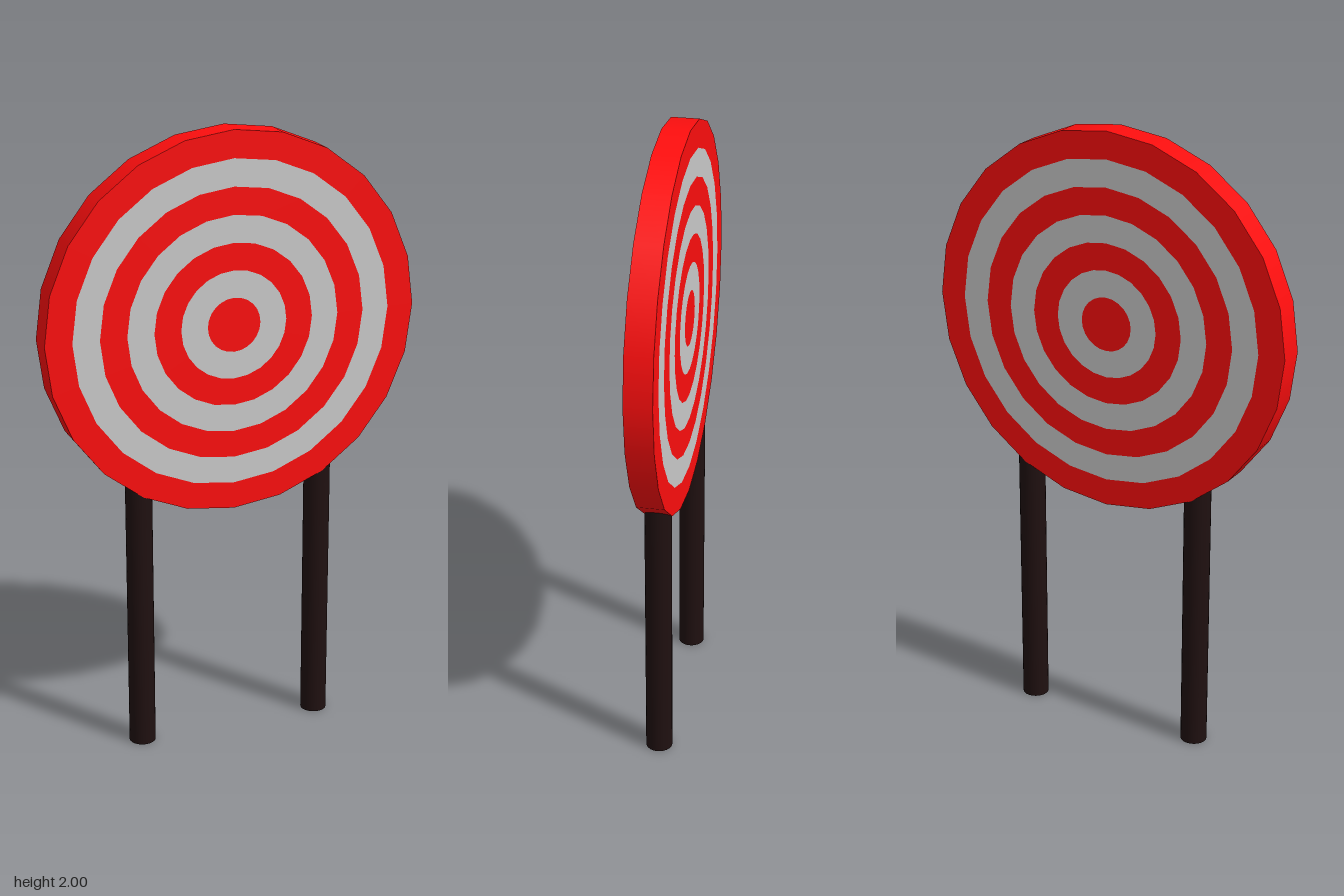
import * as THREE from 'three';

const SIDES = 24, RINGS = 7, RADIUS = 0.607, HALF = 0.0433, CENTRE_Y = 1.393;

export function createModel() {
  const model = new THREE.Group();
  const red = new THREE.MeshStandardMaterial({ color: 0xff0e0e });
  const grey = new THREE.MeshStandardMaterial({ color: 0xcccccc });
  const dark = new THREE.MeshStandardMaterial({ color: 0x1f1010 });

  const add = (parent, name, geometry, material) => {
    const mesh = new THREE.Mesh(geometry, material);
    mesh.name = name;
    parent.add(mesh);
    return mesh;
  };

  // Round board: outer rim plus concentric bands on both faces
  const board = new THREE.Group();
  board.name = 'targetBoard';
  board.position.y = CENTRE_Y;
  model.add(board);

  const rim = new THREE.CylinderGeometry(RADIUS, RADIUS, HALF * 2, SIDES, 1, true);
  add(board, 'rim', rim.rotateX(Math.PI / 2), red);

  for (const side of ['front', 'back']) {
    const face = new THREE.Group();
    face.name = side + 'Face';
    if (side === 'back') face.rotation.y = Math.PI;
    board.add(face);
    for (let i = 0; i < RINGS; i++) {
      const inner = (RADIUS * i) / RINGS, outer = (RADIUS * (i + 1)) / RINGS;
      const geometry = i === 0
        ? new THREE.CircleGeometry(outer, SIDES)
        : new THREE.RingGeometry(inner, outer, SIDES);
      const name = i === 0 ? 'bullseye' : 'band' + i;
      add(face, name, geometry, i % 2 ? grey : red).position.z = HALF;
    }
  }

  // Two round posts, their tops sunk into the board
  const postHeight = 0.95;
  for (const s of [-1, 1]) {
    const geometry = new THREE.CylinderGeometry(0.0425, 0.0425, postHeight, SIDES);
    const post = add(model, s > 0 ? 'leftPost' : 'rightPost', geometry, dark);
    post.position.set(s * 0.304, postHeight / 2, 0);
  }

  return model;
}
